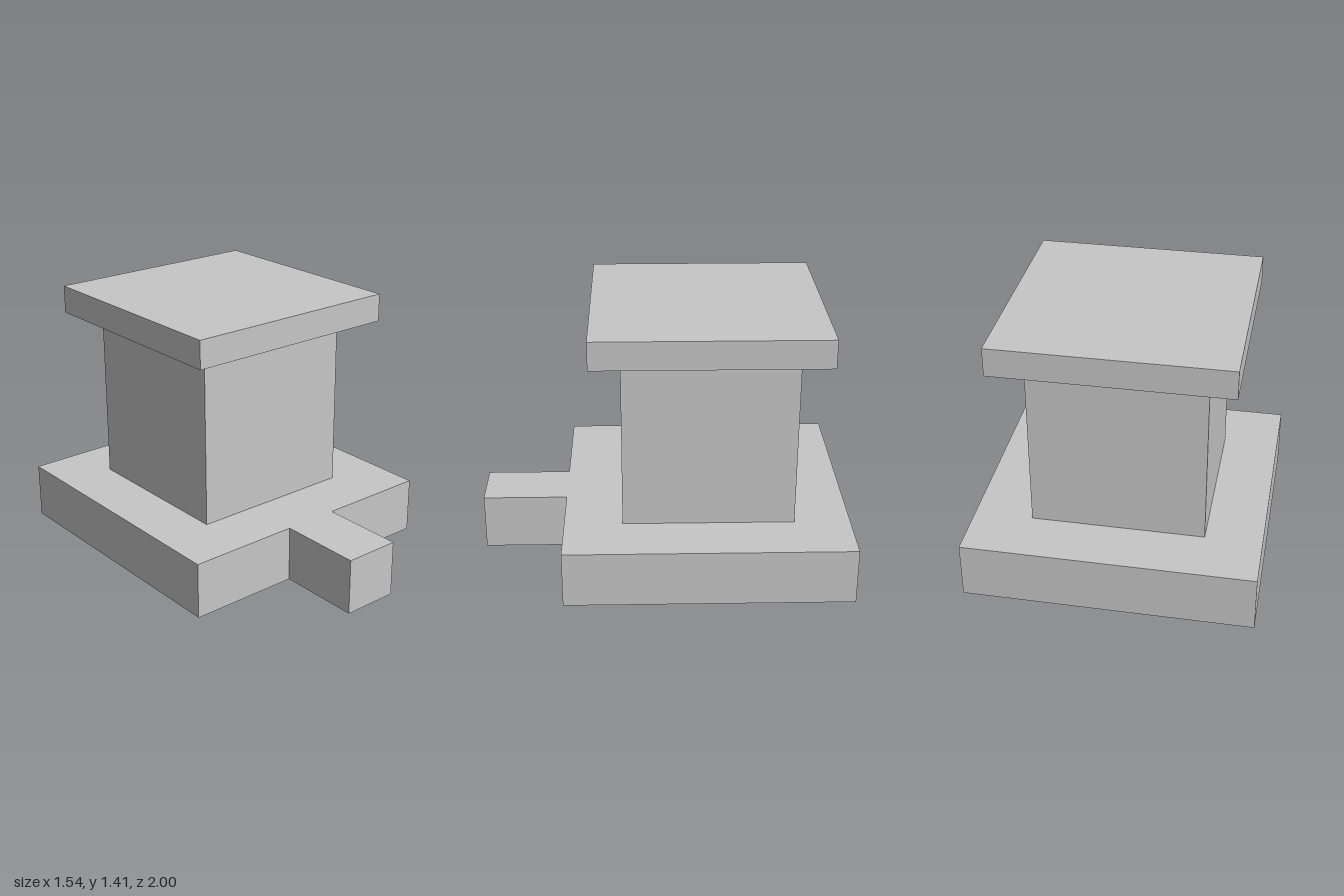
import * as THREE from 'three';

export function createModel() {
  const model = new THREE.Group();
  model.name = 'pedestal';
  const lightGrey = new THREE.MeshStandardMaterial({ color: 0xc6c6c6 });
  lightGrey.name = 'lightGrey';

  const u = 1 / 13; // modelling unit: the whole depth is 26 units
  const bodyZ = -3 * u; // centre of the square parts
  const baseTop = 4 * u;
  const capBottom = 1.262;
  const capTop = 1.415;

  // Square base with a tongue at the front, as one outline (shape y becomes -z)
  const outline = [[-10, 13], [-10, -7], [-2, -7], [-2, -13], [2, -13], [2, -7], [10, -7], [10, 13]];
  const shape = new THREE.Shape(outline.map(([x, y]) => new THREE.Vector2(x * u, y * u)));
  const baseGeometry = new THREE.ExtrudeGeometry(shape, { depth: baseTop, bevelEnabled: false });
  baseGeometry.rotateX(-Math.PI / 2);
  const base = new THREE.Mesh(baseGeometry, lightGrey);
  base.name = 'base';
  model.add(base);

  // Square blocks stacked on the base
  function addBlock(name, width, bottom, top, x, z) {
    const block = new THREE.Mesh(new THREE.BoxGeometry(width, top - bottom, width), lightGrey);
    block.name = name;
    block.position.set(x, (bottom + top) / 2, z);
    model.add(block);
  }
  // The column sits slightly off centre
  addBlock('column', 12 * u, baseTop, capBottom, -0.005, bodyZ - 0.006);
  addBlock('cap', 16 * u, capBottom, capTop, 0, bodyZ);

  return model;
}
